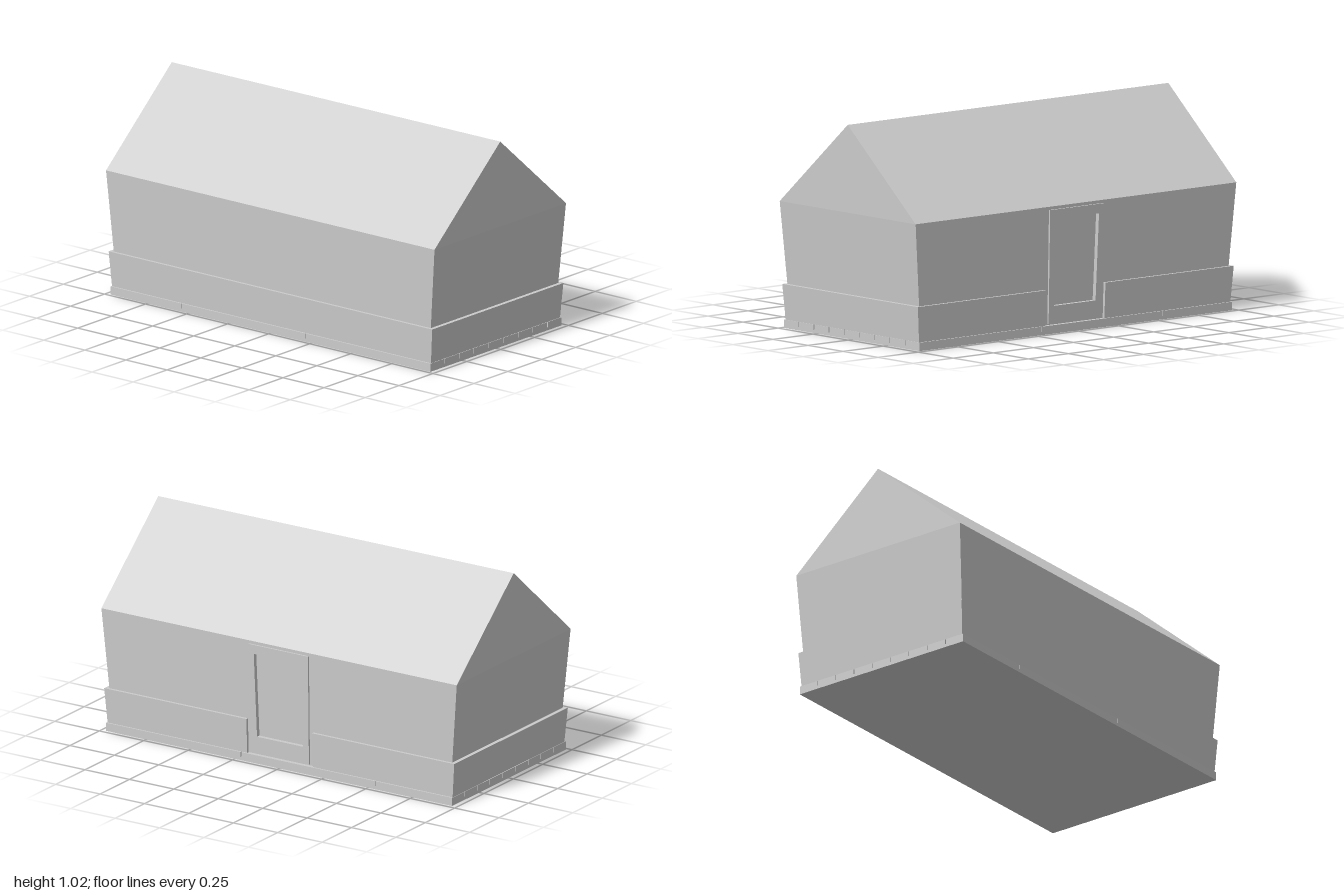
import * as THREE from 'three';

const CX = -0.003; // the house sits slightly off centre, the door trim balances it
const EAVE = 0.605, RIDGE = 1.022, SLAB = 0.04;
const mat = new THREE.MeshStandardMaterial({ color: 0xcccccc, flatShading: true });

// Half width and half length of the outward-leaning walls at height y
const wallX = (y) => 0.485 - (EAVE - y) * 0.038;
const wallZ = (y) => 1 - (EAVE - y) * 0.088;

function named(name, geometry) {
  const mesh = new THREE.Mesh(geometry, mat);
  mesh.name = name;
  return mesh;
}

// Flat faces (3 or more corners each, anticlockwise from outside)
function faces(list) {
  const p = [];
  for (const f of list)
    for (let i = 1; i < f.length - 1; i++) p.push(...f[0], ...f[i], ...f[i + 1]);
  const g = new THREE.BufferGeometry();
  g.setAttribute('position', new THREE.Float32BufferAttribute(p, 3));
  g.computeVertexNormals();
  return g;
}

// Lays a drawing (u towards -z, v up, w outward) onto the leaning +x wall
function ontoWall(source) {
  const g = source.toNonIndexed();
  const p = g.attributes.position;
  for (let i = 0; i < p.count; i++) {
    const u = p.getX(i), v = p.getY(i), w = p.getZ(i);
    p.setXYZ(i, wallX(v) + w, v, -u);
  }
  g.computeVertexNormals();
  return g;
}

// Symmetric four-sided shape, wider at the top
function trapezoid(bottom, top, halfBottom, halfTop, Type = THREE.Shape) {
  return new Type([[-halfBottom, bottom], [halfBottom, bottom], [halfTop, top], [-halfTop, top]]
    .map(([x, y]) => new THREE.Vector2(x, y)));
}

const doorHole = () => trapezoid(0.13, 0.545, 0.13, 0.138, THREE.Path);

function walls() {
  const corner = (sx, sz, y) => [sx * wallX(y), y, sz * wallZ(y)];
  const side = (a, b) => [corner(...a, SLAB), corner(...b, SLAB), corner(...b, EAVE), corner(...a, EAVE)];
  const group = new THREE.Group();
  group.name = 'walls';
  group.add(named('outerWalls', faces([
    side([-1, 1], [1, 1]), side([1, -1], [-1, -1]), side([-1, -1], [-1, 1]),
  ])));
  const doorWall = trapezoid(SLAB, EAVE, wallZ(SLAB), 1);
  doorWall.holes.push(doorHole());
  group.add(named('doorWall', ontoWall(new THREE.ShapeGeometry(doorWall))));
  return group;
}

function roof() {
  const x = wallX(EAVE);
  const [fl, fr, bl, br] = [[-x, EAVE, 1], [x, EAVE, 1], [-x, EAVE, -1], [x, EAVE, -1]];
  const f = [0, RIDGE, 1], b = [0, RIDGE, -1];
  return named('roof', faces([[fl, fr, f], [br, bl, b], [fr, br, b, f], [bl, fl, f, b]]));
}

function door() {
  const group = new THREE.Group();
  group.name = 'door';
  const frame = trapezoid(0.045, 0.59, 0.16, 0.168);
  frame.holes.push(doorHole());
  const geo = new THREE.ExtrudeGeometry(frame, { depth: 0.023, bevelEnabled: false });
  geo.translate(0, 0, -0.014);
  group.add(named('doorFrame', ontoWall(geo)));
  const panel = new THREE.ShapeGeometry(trapezoid(0.12, 0.555, 0.14, 0.148));
  panel.translate(0, 0, -0.012);
  group.add(named('doorPanel', ontoWall(panel)));
  return group;
}

// Raised band round the lower walls, open at the doorway
function skirting() {
  const path = [[1, 0.185], [1, 1], [-1, 1], [-1, -1], [1, -1], [1, -0.185]];
  const profile = [[0.476, 0.971, SLAB], [0.484, 0.985, 0.21], [0.465, 0.96, 0.21], [0.46, 0.945, SLAB]];
  const rings = path.map(([sx, sz]) => profile.map(([x, z, y]) =>
    [sx * x, y, Math.abs(sz) === 1 ? sz * z : sz]));
  const list = [[...rings[0]].reverse(), rings[5]];
  for (let i = 0; i < 5; i++)
    for (let j = 0; j < 4; j++) {
      const k = (j + 1) % 4;
      list.push([rings[i][j], rings[i][k], rings[i + 1][k], rings[i + 1][j]]);
    }
  return named('skirting', faces(list));
}

// Floor slab whose upper part has narrow vertical slots in its edges
function slab() {
  const hx = 0.484, hz = 0.974, w = 0.002, d = 0.006, lip = 0.015;
  const group = new THREE.Group();
  group.name = 'base';
  const lower = new THREE.BoxGeometry(2 * hx, lip, 2 * hz);
  lower.translate(0, lip / 2, 0);
  group.add(named('baseSlab', lower));

  const corners = [[-hx, -hz], [hx, -hz], [hx, hz], [-hx, hz]];
  const ends = [-0.378, -0.27, -0.163, -0.055, 0.053, 0.163, 0.272, 0.38];
  const slots = [ends, [-0.215, 0.54], ends, [-0.54, 0.215]];
  const pts = [];
  corners.forEach(([x, y], i) => {
    const [nx, ny] = corners[(i + 1) % 4];
    const len = Math.hypot(nx - x, ny - y), tx = (nx - x) / len, ty = (ny - y) / len;
    const at = (t, inset) => pts.push(new THREE.Vector2(
      x + tx * (t + len / 2) - ty * inset, y + ty * (t + len / 2) + tx * inset));
    pts.push(new THREE.Vector2(x, y));
    for (const s of slots[i]) {
      at(s - w, 0); at(s - w, d); at(s + w, d); at(s + w, 0);
    }
  });
  const upper = new THREE.ExtrudeGeometry(new THREE.Shape(pts), { depth: SLAB - lip, bevelEnabled: false });
  upper.rotateX(-Math.PI / 2);
  upper.translate(0, lip, 0);
  group.add(named('slottedEdge', upper));
  return group;
}

export function createModel() {
  const model = new THREE.Group();
  model.name = 'house';
  model.add(slab(), skirting(), walls(), door(), roof());
  for (const part of model.children) part.position.x = CX;
  return model;
}
